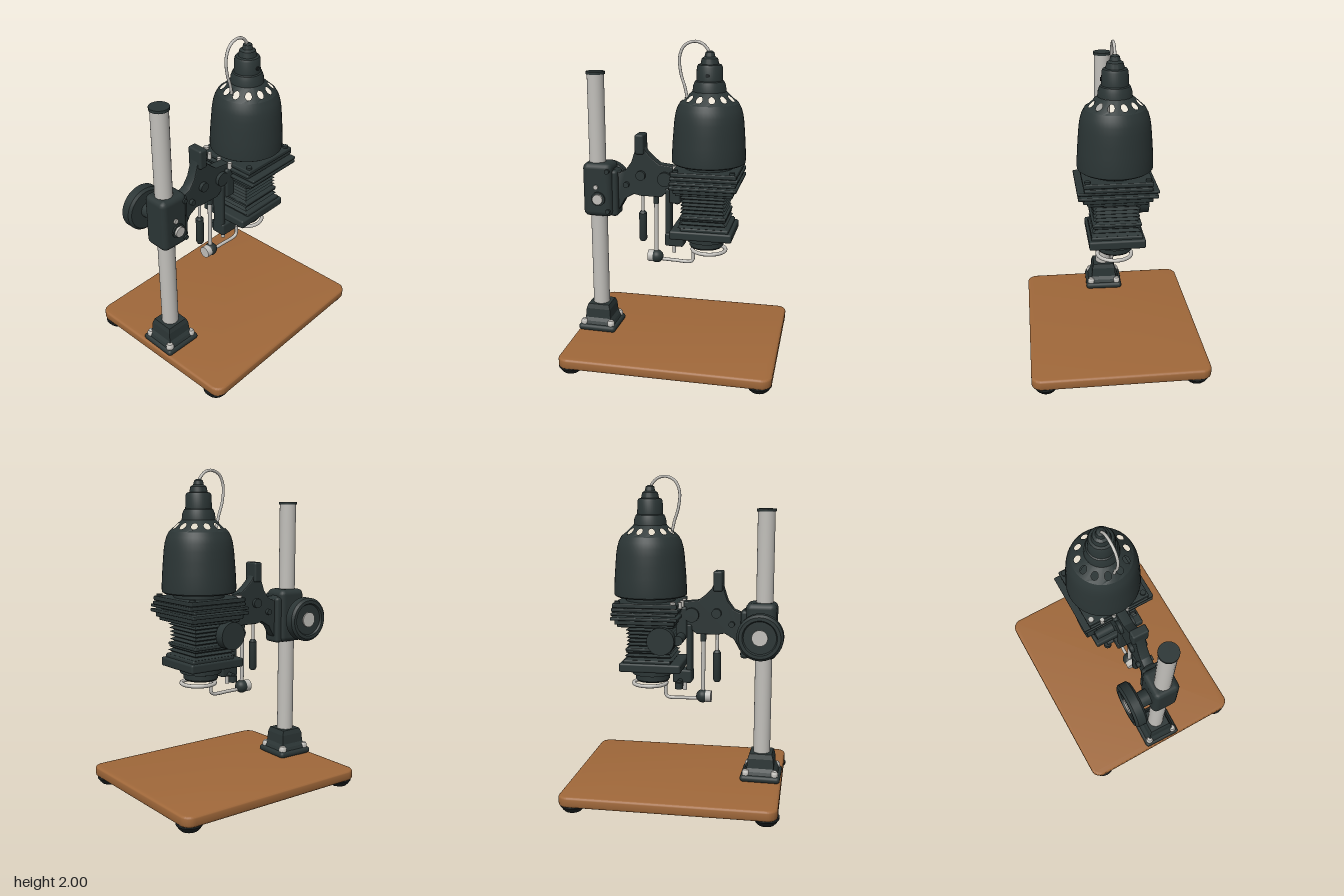
import * as THREE from 'three';
import { mergeGeometries, toCreasedNormals } from 'three/addons/utils/BufferGeometryUtils.js';
import { RoundedBoxGeometry } from 'three/addons/geometries/RoundedBoxGeometry.js';

const mat = (name, color) => {
  const m = new THREE.MeshStandardMaterial({ color });
  m.name = name;
  return m;
};

export function createModel() {
  const dark = mat('dark enamel', 0x2b3535);
  const black = mat('black rubber', 0x1d2324);
  const wood = mat('varnished wood', 0xa0683a);
  const metal = mat('bare metal', 0xc2c0bb);

  const model = new THREE.Group();
  model.name = 'photoEnlarger';

  // ---- helpers ----
  const group = (name, parent = model) => {
    const g = new THREE.Group();
    g.name = name;
    parent.add(g);
    return g;
  };
  const add = (parent, name, geo, material, x = 0, y = 0, z = 0) => {
    const m = new THREE.Mesh(geo, material);
    m.name = name;
    m.position.set(x, y, z);
    parent.add(m);
    return m;
  };
  // box given by its extents
  const box = (parent, name, material, x0, x1, y0, y1, z0, z1, r = 0.012) =>
    add(parent, name, new RoundedBoxGeometry(x1 - x0, y1 - y0, z1 - z0, 2, r), material,
      (x0 + x1) / 2, (y0 + y1) / 2, (z0 + z1) / 2);
  const lathe = (pts, seg = 48, crease = 0.6) =>
    toCreasedNormals(new THREE.LatheGeometry(pts.map(p => new THREE.Vector2(...p)), seg), crease);
  const rod = (parent, name, material, r, a, b) => {
    const A = new THREE.Vector3(...a), B = new THREE.Vector3(...b), d = B.clone().sub(A);
    const m = add(parent, name, new THREE.CylinderGeometry(r, r, d.length(), 24), material);
    m.position.copy(A).add(B).multiplyScalar(0.5);
    m.quaternion.setFromUnitVectors(new THREE.Vector3(0, 1, 0), d.normalize());
    return m;
  };
  const tube = (parent, name, material, pts, r) => add(parent, name, new THREE.TubeGeometry(
    new THREE.CatmullRomCurve3(pts.map(p => new THREE.Vector3(...p))), 48, r, 10), material);
  // four-sided stack with flat faces, half-width by height
  const squareStack = pts => {
    const g = new THREE.LatheGeometry(pts.map(([h, y]) => new THREE.Vector2(h * Math.SQRT2, y)), 4, Math.PI / 4)
      .toNonIndexed();
    g.computeVertexNormals();
    return g;
  };

  // ---- baseboard and feet ----
  const base = group('baseboard');
  base.position.x = 0.003;
  base.rotation.y = 0.03;
  const s = new THREE.Shape(), W = 0.645, D = 0.533, R = 0.05;
  [[W - R, D - R, 0], [R - W, D - R, 1], [R - W, R - D, 2], [W - R, R - D, 3]].forEach(([x, y, q]) =>
    s.absarc(x, y, R, q * Math.PI / 2, (q + 1) * Math.PI / 2, false));
  const board = new THREE.ExtrudeGeometry(s, {
    depth: 0.037, bevelThickness: 0.014, bevelSize: 0.014, bevelSegments: 3, curveSegments: 8 });
  board.rotateX(-Math.PI / 2);
  add(base, 'board', toCreasedNormals(board, 0.7), wood, 0, 0.059, 0);
  for (const x of [-0.59, 0.58]) for (const z of [-0.46, 0.46])
    add(base, 'foot', lathe([[0, 0], [0.05, 0], [0.062, 0.012], [0.078, 0.035], [0.078, 0.05], [0, 0.05]], 28), black, x, 0, z);

  // ---- column with its socket ----
  const CX = -0.525, CZ = 0.018;
  const column = group('column');
  rod(column, 'post', metal, 0.053, [CX, 0.2, CZ], [CX, 1.787, CZ]);
  rod(column, 'postCap', dark, 0.059, [CX, 1.785, CZ], [CX, 1.802, CZ]);
  box(column, 'socketFlange', dark, CX - 0.126, CX + 0.126, 0.108, 0.15, CZ - 0.126, CZ + 0.126, 0.02);
  add(column, 'socket', squareStack([[0.112, 0.14], [0.1, 0.17], [0.085, 0.19], [0.08, 0.25], [0.07, 0.28], [0, 0.28]]),
    dark, CX, 0, CZ);
  for (const i of [-1, 1]) for (const j of [-1, 1])
    add(column, 'socketBolt', lathe([[0.024, 0], [0.024, 0.02], [0.016, 0.034], [0, 0.038]], 16), metal,
      CX + i * 0.09, 0.148, CZ + j * 0.09);

  // ---- clamp sliding on the column ----
  const clamp = group('clamp');
  box(clamp, 'clampBody', dark, -0.605, -0.415, 0.89, 1.236, -0.07, 0.1, 0.035);
  box(clamp, 'clampFlange', dark, -0.44, -0.385, 0.89, 1.19, -0.055, 0.07, 0.02);
  rod(clamp, 'knobShaft', dark, 0.05, [-0.52, 1.055, -0.15], [-0.52, 1.055, -0.04]);
  const knob = add(clamp, 'heightKnob', lathe([[0, 0], [0.125, 0], [0.14, 0.014], [0.14, 0.066], [0.125, 0.08],
    [0.105, 0.08], [0.098, 0.068], [0.06, 0.068], [0, 0.068]]), dark, -0.52, 1.055, -0.14);
  knob.rotation.x = -Math.PI / 2;
  rod(clamp, 'knobCentre', metal, 0.048, [-0.52, 1.055, -0.2], [-0.52, 1.055, -0.217]);
  rod(clamp, 'lockBoss', dark, 0.045, [-0.5, 1.01, 0.09], [-0.5, 1.01, 0.11]);
  rod(clamp, 'lockScrew', metal, 0.033, [-0.5, 1.01, 0.1], [-0.5, 1.01, 0.125]);
  for (const [x, y] of [[-0.515, 1.085], [-0.44, 0.93], [-0.44, 1.19]])
    rod(clamp, 'smallScrew', x < -0.5 ? metal : dark, 0.015, [x, y, 0.09], [x, y, 0.11]);

  // ---- cast arm ----
  const arm = group('arm');
  const outline = [[-0.41, 1.19], [-0.38, 1.165], [-0.335, 1.185], [-0.295, 1.24], [-0.272, 1.31], [-0.265, 1.34],
    [-0.22, 1.34], [-0.205, 1.31], [-0.165, 1.27], [-0.12, 1.235], [0.02, 1.22], [0.03, 1.07], [-0.07, 1.07],
    [-0.11, 1.035], [-0.24, 1.035], [-0.285, 1.045], [-0.345, 1.01], [-0.385, 0.94], [-0.41, 0.92]];
  const armGeo = new THREE.ExtrudeGeometry(new THREE.Shape(outline.map(p => new THREE.Vector2(...p))),
    { depth: 0.05, bevelThickness: 0.008, bevelSize: 0.006, bevelSegments: 2 });
  add(arm, 'armCasting', toCreasedNormals(armGeo, 0.5), dark, 0, 0, -0.02);
  box(arm, 'armHorn', dark, -0.27, -0.213, 1.3, 1.425, -0.045, 0.06);
  for (const [x, y, r] of [[-0.235, 1.165, 0.03], [-0.08, 1.15, 0.045], [-0.33, 1.1, 0.018]])
    rod(arm, 'pivotBoss', dark, r, [x, y, -0.05], [x, y, 0.06]);

  // hanging release grip
  rod(arm, 'gripRod', metal, 0.01, [-0.235, 0.91, 0.005], [-0.235, 1.05, 0.005]);
  add(arm, 'grip', lathe([[0, 0.725], [0.018, 0.725], [0.025, 0.74], [0.025, 0.91], [0.014, 0.925], [0, 0.925]], 20),
    dark, -0.235, 0, 0.005);

  // ---- lens carrier rail ----
  const carrier = group('lensCarrier');
  box(carrier, 'rail', dark, -0.08, -0.045, 0.73, 1.09, -0.035, 0.045);
  box(carrier, 'railRack', dark, -0.05, 0.02, 1.0, 1.2, -0.05, 0.06);
  box(carrier, 'railFoot', dark, -0.08, 0.04, 0.715, 0.8, -0.045, 0.055);
  rod(carrier, 'stopPin', metal, 0.012, [-0.03, 0.66, 0.005], [-0.03, 0.72, 0.005]);
  rod(carrier, 'stopKnob', dark, 0.026, [-0.01, 0.69, -0.085], [-0.01, 0.73, -0.085]);
  rod(carrier, 'stopAxle', dark, 0.015, [-0.01, 0.73, -0.09], [-0.01, 0.73, -0.03]);

  // ---- swing-in filter holder ----
  const filter = group('filterHolder');
  rod(filter, 'hangerRod', metal, 0.013, [-0.147, 0.64, 0.005], [-0.147, 1.05, 0.005]);
  rod(filter, 'hangerSleeve', dark, 0.018, [-0.147, 0.98, 0.005], [-0.147, 1.045, 0.005]);
  add(filter, 'pivotJoint', new THREE.SphereGeometry(0.042, 24, 16), dark, -0.145, 0.625, 0.005);
  rod(filter, 'pivotCap', metal, 0.037, [-0.2, 0.625, 0.005], [-0.155, 0.625, 0.005]);
  tube(filter, 'swingArm', metal, [[-0.14, 0.61, 0.005], [-0.03, 0.607, 0.005], [0.075, 0.607, 0.005],
    [0.092, 0.62, 0.005], [0.094, 0.69, 0.005], [0.094, 0.78, 0.005]], 0.011);
  const ring = add(filter, 'filterRing', new THREE.TorusGeometry(0.105, 0.012, 10, 40), metal, 0.195, 0.698, -0.003);
  ring.rotation.x = Math.PI / 2;

  // ---- enlarger head ----
  const head = group('head');
  head.position.set(0.187, 0, -0.006);
  head.rotation.y = 0.03;

  // lens and lens board
  add(head, 'lens', lathe([[0, 0.735], [0.07, 0.735], [0.075, 0.72], [0.1, 0.72], [0.108, 0.73], [0.108, 0.76],
    [0.128, 0.765], [0.128, 0.8], [0, 0.8]], 40), dark, -0.01);
  box(head, 'lensBoard', dark, -0.215, 0.172, 0.8, 0.856, -0.17, 0.17);
  box(head, 'lensBoardRim', dark, -0.15, 0.15, 0.85, 0.875, -0.155, 0.155, 0.008);

  // pleated bellows
  const pleats = [], N = 11;
  for (let i = 0; i <= N * 2; i++) {
    const t = i / (N * 2);
    pleats.push([0.138 + 0.018 * Math.pow(2 * t - 1, 2) - (i % 2 ? 0 : 0.022), 0.865 + 0.255 * t]);
  }
  add(head, 'bellows', squareStack(pleats), dark, -0.012);
  box(head, 'bellowsFrame', dark, -0.152, 0.132, 0.93, 0.95, -0.148, 0.148, 0.006);
  rod(head, 'focusKnob', dark, 0.085, [-0.1, 1.01, -0.15], [-0.1, 1.01, -0.215]);
  rod(head, 'focusAxle', dark, 0.03, [-0.2, 1.01, -0.17], [-0.2, 1.01, 0.0]);

  // negative stage plates
  const plates = [[0.175, 0.18, 1.085, 1.112], [0.185, 0.205, 1.105, 1.135], [0.205, 0.235, 1.135, 1.155],
    [0.2, 0.24, 1.165, 1.183], [0.208, 0.2, 1.183, 1.205], [0.2, 0.205, 1.208, 1.235]];
  plates.forEach(([w, d, y0, y1]) => box(head, 'stagePlate', dark, -w, w, y0, y1, -d, d, 0.006));
  box(head, 'stageCore', dark, -0.17, 0.17, 1.1, 1.23, -0.17, 0.17);
  for (const i of [-1, 1]) for (const j of [-1, 1])
    rod(head, 'stageScrew', i < 0 && j < 0 ? metal : dark, 0.017, [i * 0.172, 1.18, j * 0.178], [i * 0.172, 1.248, j * 0.178]);
  for (const z of [-0.12, -0.04, 0.05])
    rod(head, 'hingeScrew', metal, 0.013, [-0.205, 1.2, z], [-0.205, 1.24, z]);

  // lamp housing: lower bell, vented shoulder and stepped cap
  const lamp = group('lampHousing', head);
  add(lamp, 'lampNeck', new THREE.CylinderGeometry(0.155, 0.155, 0.05, 40), dark, 0, 1.25, 0);
  add(lamp, 'lampBell', lathe([[0, 1.262], [0.215, 1.262], [0.226, 1.27], [0.227, 1.3], [0.223, 1.38], [0.217, 1.46],
    [0.212, 1.52], [0.205, 1.565], [0.195, 1.6], [0.178, 1.632]]), dark);
  const vents = [], VENTS = 12, half = Math.PI / VENTS;
  for (let k = 0; k < VENTS; k++) {
    const edge = [];
    for (let i = 0; i <= 4; i++) edge.push(new THREE.Vector2(-half + i * half / 2, 0));
    for (let i = 4; i >= 0; i--) edge.push(new THREE.Vector2(-half + i * half / 2, 1));
    const panel = new THREE.Shape(edge);
    panel.holes.push(new THREE.Path().absellipse(0, 0.48, 0.14, 0.26, 0, Math.PI * 2, true));
    const g = new THREE.ShapeGeometry(panel, 8), p = g.attributes.position;
    for (let i = 0; i < p.count; i++) {
      const a = p.getX(i) + (2 * k + 1) * half, v = p.getY(i), r = 0.178 - 0.076 * v;
      p.setXYZ(i, r * Math.sin(a), 1.632 + 0.068 * v, r * Math.cos(a));
    }
    vents.push(g);
  }
  add(lamp, 'ventedShoulder', toCreasedNormals(mergeGeometries(vents), 0.7), dark);
  add(lamp, 'lampCap', lathe([[0.102, 1.7], [0.098, 1.735], [0.088, 1.76], [0.08, 1.765], [0.077, 1.845], [0.07, 1.858],
    [0.055, 1.862], [0.048, 1.895], [0.032, 1.905], [0.026, 1.93], [0.014, 1.938], [0, 1.938]], 40), dark);
  rod(lamp, 'capScrew', black, 0.012, [0, 1.8, 0.07], [0, 1.8, 0.084]);

  // power cable looping back into the shoulder
  tube(lamp, 'cable', metal, [[0, 1.92, 0], [-0.015, 1.95, 0], [-0.05, 1.982, 0], [-0.1, 1.991, 0], [-0.155, 1.965, 0],
    [-0.183, 1.9, 0], [-0.175, 1.8, 0], [-0.15, 1.72, 0.002], [-0.135, 1.65, 0.002]], 0.009);

  return model;
}
